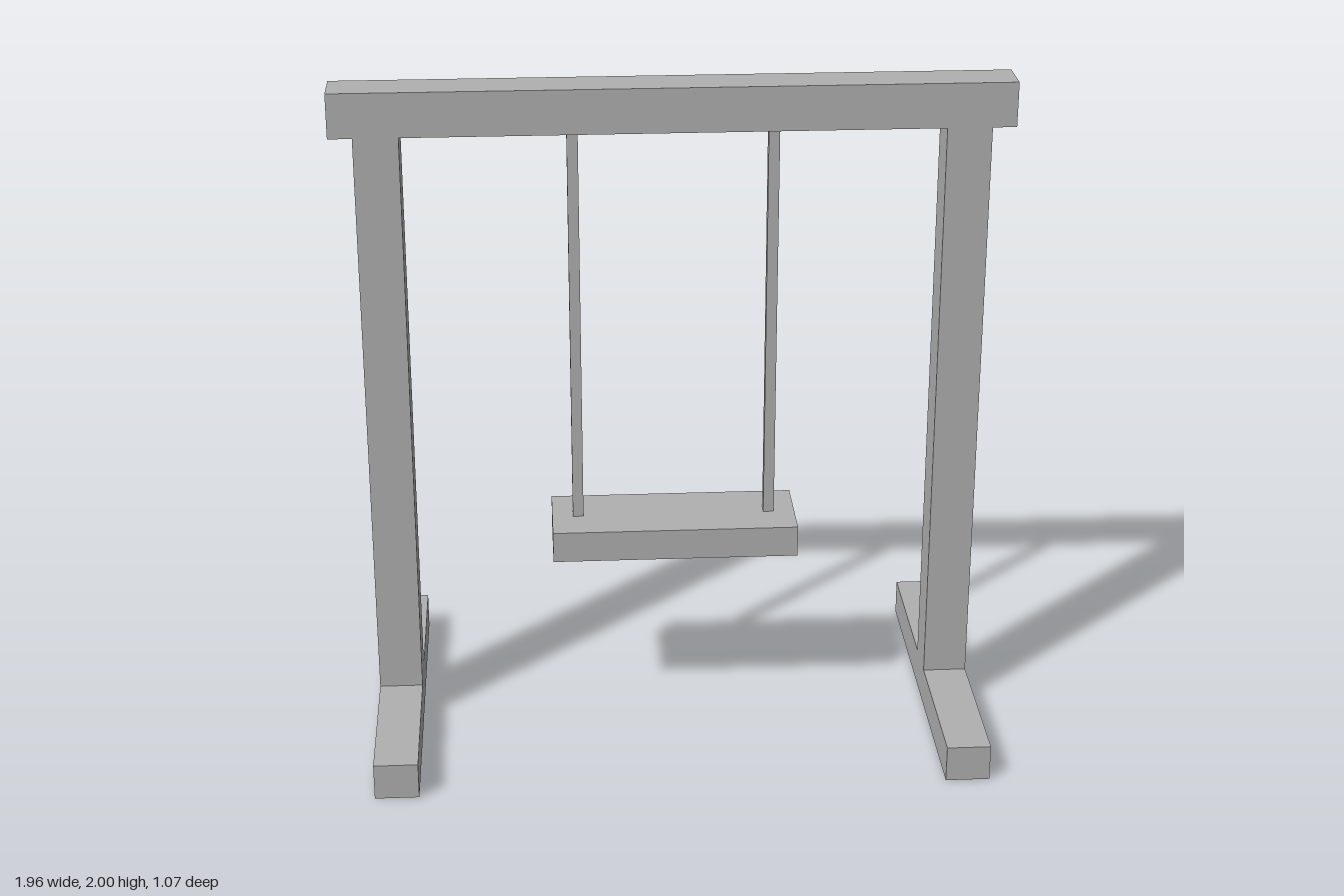
import * as THREE from 'three';

export function createModel() {
  const group = new THREE.Group();
  group.name = 'swing';
  const grey = new THREE.MeshStandardMaterial({ color: 0xb0b0b0 });
  grey.name = 'grey';

  // Box centred on x and z = 0, spanning y0 to y1
  function addBox(name, width, depth, y0, y1, x = 0) {
    const mesh = new THREE.Mesh(new THREE.BoxGeometry(width, y1 - y0, depth), grey);
    mesh.name = name;
    mesh.position.set(x, (y0 + y1) / 2, 0);
    group.add(mesh);
  }

  // Crossbeam and hanging seat
  addBox('crossbeam', 1.955, 0.13, 1.868, 2);
  addBox('seat', 0.735, 0.26, 0.555, 0.65);

  // Feet, posts and ropes on both sides
  for (const [side, s] of [['left', 1], ['right', -1]]) {
    addBox(side + 'Foot', 0.13, 1.066, 0, 0.11, s * 0.843);
    addBox(side + 'Post', 0.13, 0.13, 0.11, 1.868, s * 0.843);
    addBox(side + 'Rope', 0.032, 0.032, 0.65, 1.868, s * 0.289);
  }
  return group;
}
